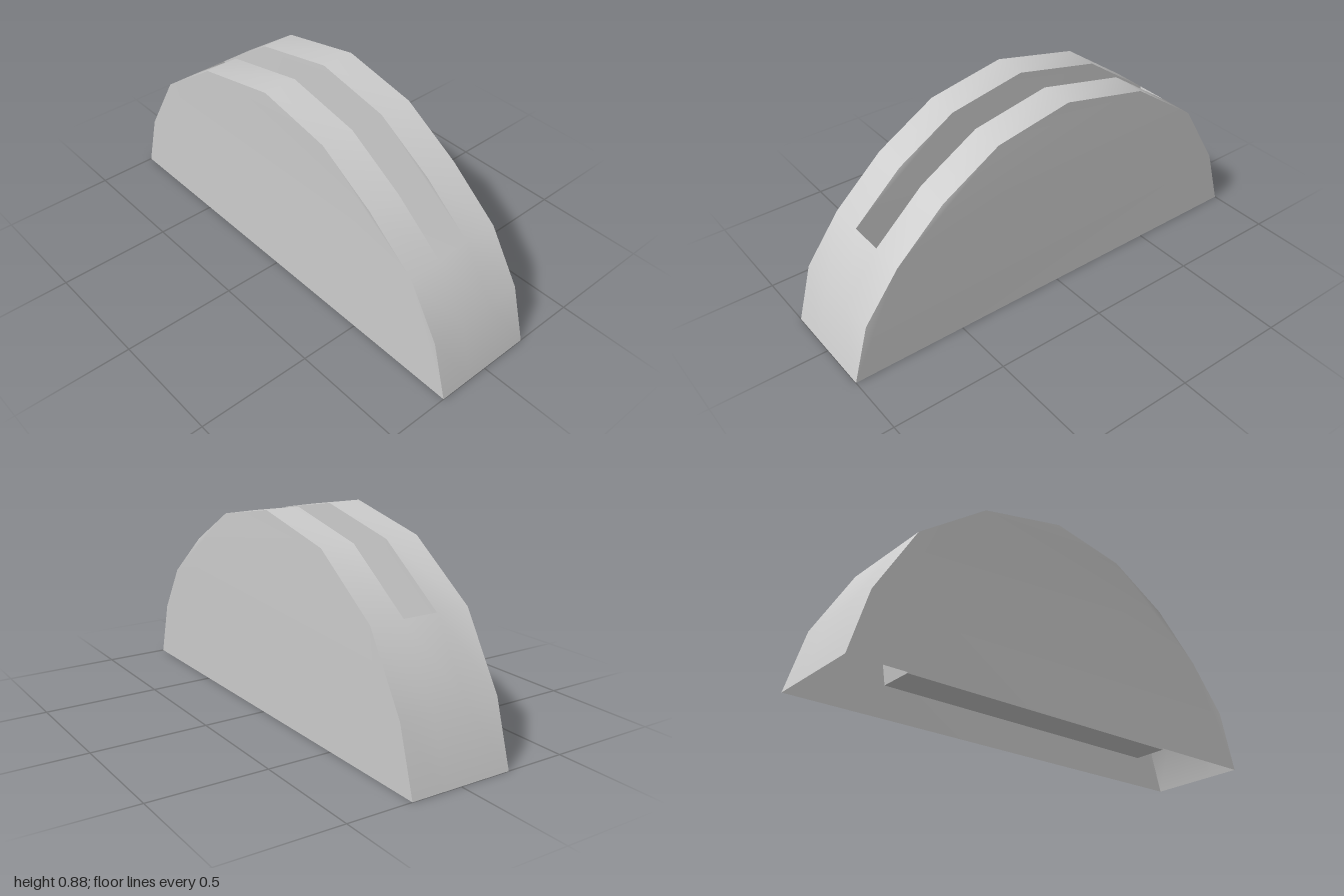
import * as THREE from 'three';

// half-round outline as [z, y], front foot over the top to the back foot
const ARC = [[1, 0], [0.93, 0.25], [0.78, 0.465], [0.56, 0.655], [0.3, 0.81],
  [-0.04, 0.875], [-0.43, 0.79], [-0.74, 0.57], [-0.92, 0.27], [-1, 0]];
const SLOT_START = 2, SLOT_END = 7; // outline points where the slot begins and ends
const TROUGH = [ARC[SLOT_START], [0.7, 0.07], [-0.66, 0.07], ARC[SLOT_END]];
const HALF = 0.2275, SLOT = 0.0775; // half widths of body and slot

// slight sideways kink of the body near the front end of the slot
const lean = z => -0.0055 + 0.0095 * Math.max(0, 1 - Math.abs(z - 0.78) / 0.15);

const material = (flatShading = false) => new THREE.MeshStandardMaterial({
  color: 0xcccccc, side: THREE.DoubleSide, flatShading });

// band that sweeps the columns xs along a [z, y] path; skip leaves cells open
function band(name, path, xs, flat, skip = () => false) {
  const pos = [], index = [], n = xs.length;
  path.forEach(([z, y]) => xs.forEach(x => pos.push(x + lean(z), y, z)));
  for (let i = 0; i < path.length - 1; i++) {
    for (let j = 0; j < n - 1; j++) {
      if (skip(i, j)) continue;
      const a = i * n + j, b = a + 1, c = a + n, d = c + 1;
      index.push(a, b, c, b, d, c);
    }
  }
  const geo = new THREE.BufferGeometry();
  geo.setAttribute('position', new THREE.Float32BufferAttribute(pos, 3));
  geo.setIndex(index);
  geo.computeVertexNormals();
  const mesh = new THREE.Mesh(geo, material(flat));
  mesh.name = name;
  return mesh;
}

// upright wall with a [z, y] outline at x, facing +x or -x
function wall(name, outline, x, faceRight) {
  const geo = new THREE.ShapeGeometry(
    new THREE.Shape(outline.map(p => new THREE.Vector2(...p))));
  const pos = geo.attributes.position;
  for (let i = 0; i < pos.count; i++) {
    const z = pos.getX(i), y = pos.getY(i);
    pos.setXYZ(i, x + lean(z), y, z);
  }
  if (faceRight) geo.setIndex(Array.from(geo.index.array).reverse());
  geo.computeVertexNormals();
  const mesh = new THREE.Mesh(geo, material());
  mesh.name = name;
  return mesh;
}

export function createModel() {
  const model = new THREE.Group();
  model.name = 'slottedHalfRoundHolder';

  // curved rim with the slot left open; the underside is open too
  model.add(band('curvedRim', ARC, [-HALF, -SLOT, SLOT, HALF], false,
    (i, j) => j === 1 && i >= SLOT_START && i < SLOT_END));

  // floor and sloping ends of the slot trough
  model.add(band('slotFloor', TROUGH, [-SLOT, SLOT], true));

  // outer sides and inner slot sides
  const slotOutline = [...ARC.slice(SLOT_START, SLOT_END + 1), TROUGH[2], TROUGH[1]];
  for (const s of [-1, 1]) {
    const side = s > 0 ? 'left' : 'right';
    model.add(wall(side + 'Side', ARC, s * HALF, s > 0));
    model.add(wall(side + 'SlotWall', slotOutline, s * SLOT, s < 0));
  }
  return model;
}
